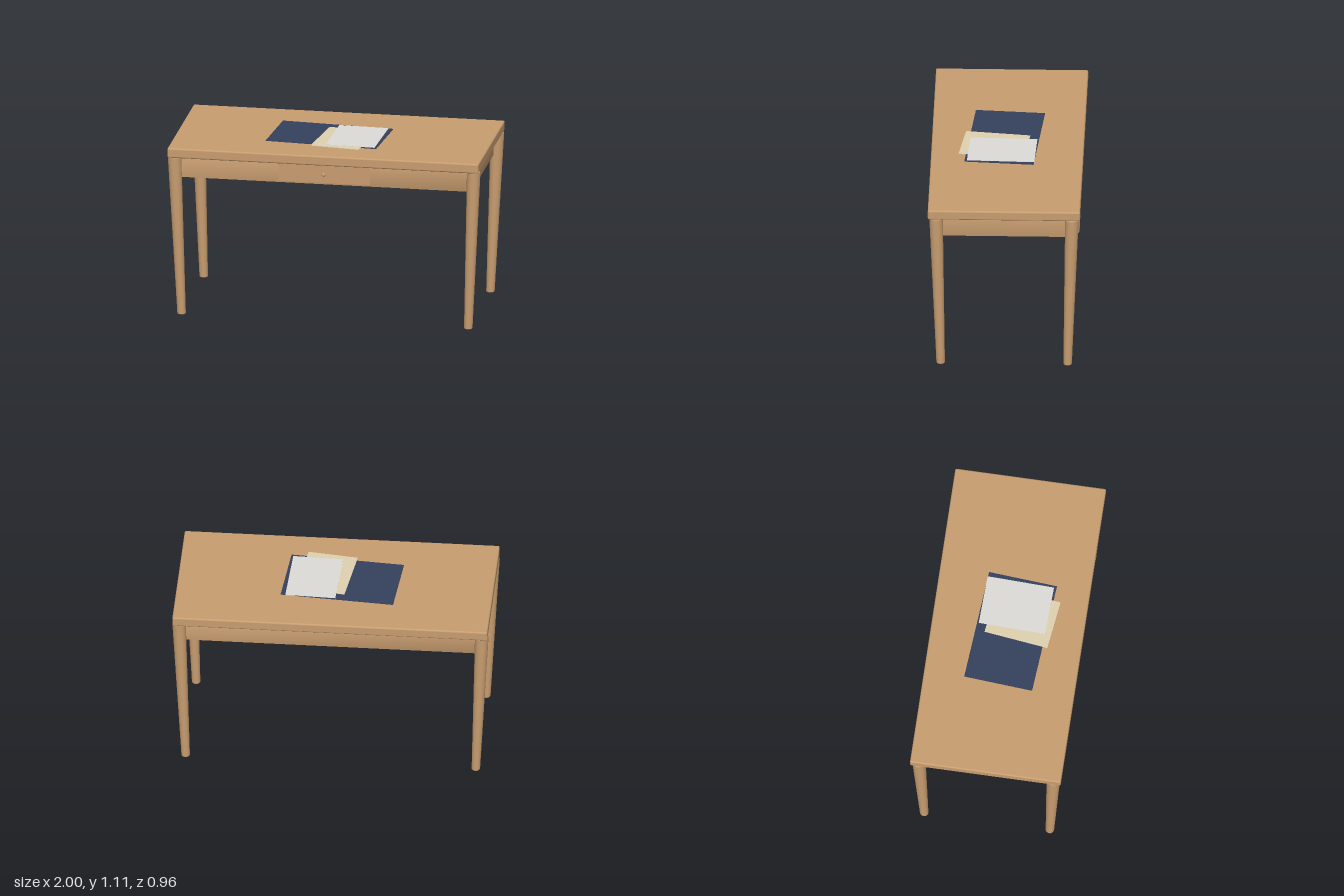
import * as THREE from 'three';
import { mergeVertices } from 'three/addons/utils/BufferGeometryUtils.js';
import { RoundedBoxGeometry } from 'three/addons/geometries/RoundedBoxGeometry.js';

const material = (name, color) => {
  const m = new THREE.MeshStandardMaterial({ color });
  m.name = name;
  return m;
};

// Box whose corners share one normal, for a soft shaded board
function softBox(w, h, d) {
  const g = new THREE.BoxGeometry(w, h, d);
  g.deleteAttribute('normal');
  g.deleteAttribute('uv');
  const merged = mergeVertices(g);
  merged.computeVertexNormals();
  return merged;
}

export function createModel() {
  const desk = new THREE.Group();
  desk.name = 'desk';
  const wood = material('wood', 0xc89d70);
  const navy = material('navy', 0x35425e);
  const cream = material('cream', 0xdfd2b0);
  const paper = material('paper grey', 0xdedcd8);

  const add = (name, geometry, mat, x, y, z, turn = 0) => {
    const mesh = new THREE.Mesh(geometry, mat);
    mesh.name = name;
    mesh.position.set(x, y, z);
    mesh.rotation.y = turn;
    desk.add(mesh);
    return mesh;
  };

  // Table top with softened edges
  add('tableTop', new RoundedBoxGeometry(1.992, 0.063, 0.96, 3, 0.01), wood, 0, 1.0765, 0);

  // Tapered legs, splayed outwards towards the top
  const profile = [[0, 0], [0.024, 0], [0.027, 0.005], [0.043, 1.037], [0.039, 1.045], [0, 1.045]]
    .map(([r, y]) => new THREE.Vector2(r, y));
  for (const sx of [-1, 1]) {
    for (const sz of [-1, 1]) {
      const leg = new THREE.LatheGeometry(profile, 32);
      const p = leg.attributes.position;
      for (let i = 0; i < p.count; i++) {
        const t = p.getY(i) / 1.045;
        p.setX(i, p.getX(i) + sx * (0.917 + 0.04 * t));
        p.setZ(i, p.getZ(i) + sz * (0.4 + 0.028 * t));
      }
      add((sz > 0 ? 'front' : 'back') + (sx > 0 ? 'Left' : 'Right') + 'Leg', leg, wood, 0, 0, 0);
    }
  }

  // Apron boards between the legs
  for (const s of [-1, 1]) {
    add(s > 0 ? 'frontApron' : 'backApron', softBox(1.88, 0.138, 0.02), wood, 0, 0.977, s * 0.415);
    add(s > 0 ? 'leftApron' : 'rightApron', softBox(0.02, 0.138, 0.84), wood, s * 0.93, 0.977, 0);
  }

  // Drawer front and its knob
  add('drawerFront', new THREE.BoxGeometry(0.585, 0.117, 0.012), wood, 0, 0.977, 0.426);
  const stem = new THREE.CylinderGeometry(0.006, 0.006, 0.016, 16).rotateX(Math.PI / 2);
  add('knobStem', stem, wood, 0, 0.977, 0.438);
  add('drawerKnob', new THREE.SphereGeometry(0.012, 20, 14), wood, 0, 0.977, 0.448);

  // Desk mat and two loose sheets
  add('deskMat', new THREE.BoxGeometry(0.717, 0.003, 0.438), navy, -0.038, 1.1095, 0.022, -0.076);
  add('creamSheet', new THREE.BoxGeometry(0.317, 0.0035, 0.41), cream, 0.067, 1.11, 0.083, -0.125);
  add('greySheet', new THREE.BoxGeometry(0.317, 0.0045, 0.425), paper, 0.14, 1.1105, 0.033, -0.035);

  return desk;
}
